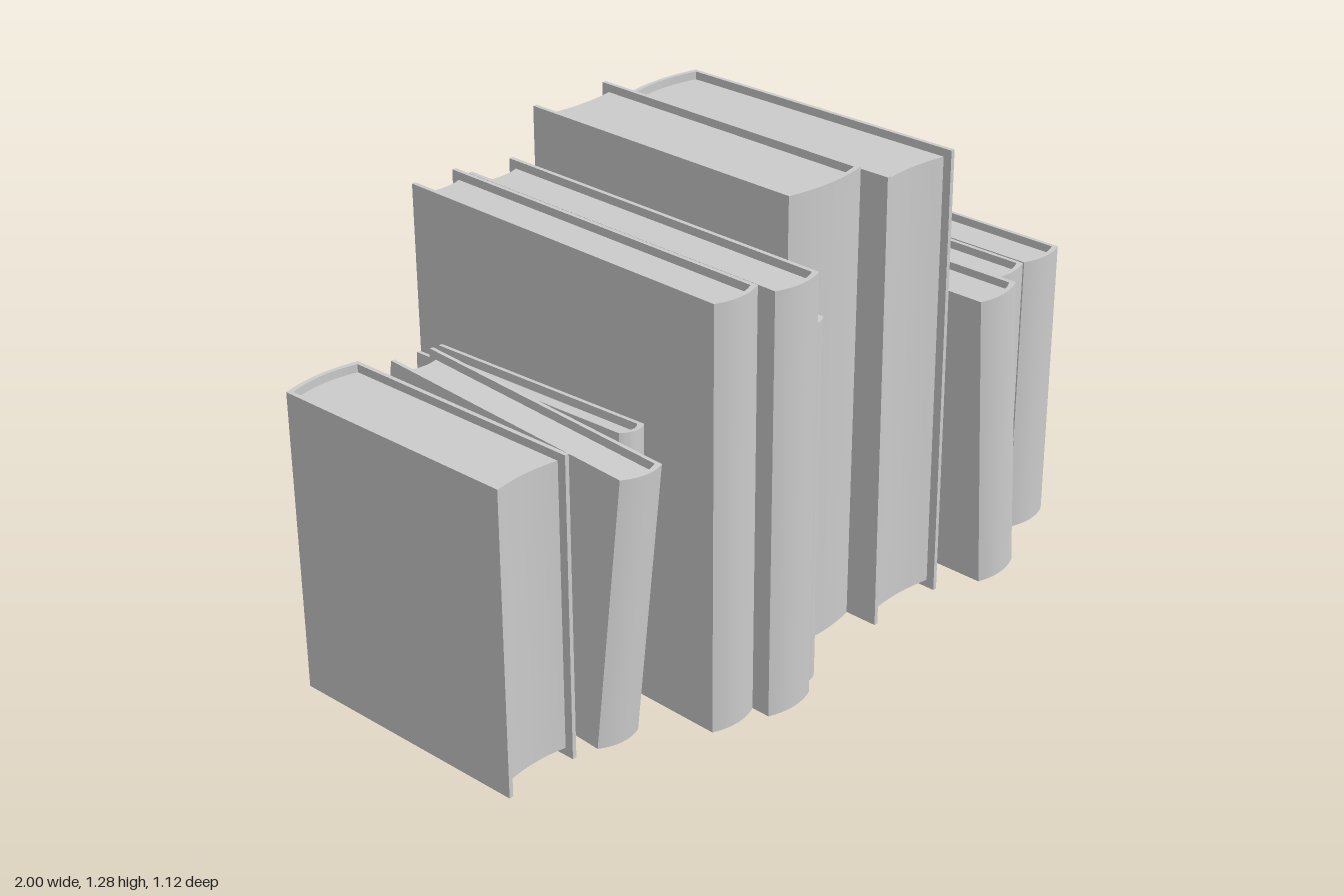
import * as THREE from 'three';
import { toCreasedNormals } from 'three/addons/utils/BufferGeometryUtils.js';

const BOARD = 0.012; // cover thickness
const BULGE = 0.016; // rounding of the spine

// Points across the width of a book, from -half to half, bowed towards the spine
function bow(half, z, bulge, steps = 12) {
  const points = [];
  for (let i = 0; i <= steps; i++) {
    const t = (i / steps) * 2 - 1;
    points.push(new THREE.Vector2(t * half, z - bulge * t * t));
  }
  return points;
}

// Extrudes an outline (x, z) upwards, centred on y = 0
function upright(outline, height) {
  const shape = new THREE.Shape(outline.map((p) => new THREE.Vector2(p.x, -p.y)));
  const geometry = new THREE.ExtrudeGeometry(shape, { depth: height, bevelEnabled: false });
  geometry.rotateX(-Math.PI / 2).translate(0, -height / 2, 0);
  return toCreasedNormals(geometry, 0.5);
}

// One hardback, spine towards +z
function makeBook(w, h, d) {
  const book = new THREE.Group();
  const half = w / 2;
  const material = new THREE.MeshStandardMaterial({ color: 0xcccccc });

  // Cover: two boards joined by a rounded spine
  const outer = bow(half, d / 2, BULGE);
  const inner = bow(half - BOARD, d / 2 - BOARD, BULGE).reverse();
  const coverOutline = [
    new THREE.Vector2(-half, -d / 2), ...outer, new THREE.Vector2(half, -d / 2),
    new THREE.Vector2(half - BOARD, -d / 2), ...inner, new THREE.Vector2(-half + BOARD, -d / 2),
  ];
  const cover = new THREE.Mesh(upright(coverOutline, h), material);
  cover.name = 'cover';

  // Pages: inset block, rounded at the spine and hollow at the fore edge
  const pagesOutline = [
    ...bow(half - BOARD, d / 2 - BOARD, BULGE),
    ...bow(half - BOARD, -d / 2 + 0.036, 0.012).reverse(),
  ];
  const pages = new THREE.Mesh(upright(pagesOutline, h - 0.044), material);
  pages.name = 'pages';

  book.add(cover, pages);
  return book;
}

export function createModel() {
  const row = new THREE.Group();
  row.name = 'bookRow';

  // size [w, h, d], centre [x, y, z], pitch, turn, lean
  const books = [
    { name: 'farRightBook', size: [0.226, 0.833, 0.735], at: [-0.873, 0.432, -0.042], turn: Math.PI + 0.036 },
    { name: 'leaningBookWide', size: [0.138, 0.725, 0.82], at: [-0.637, 0.435, 0.005], pitch: 0.04, lean: -0.082 },
    { name: 'leaningBookThin', size: [0.084, 0.735, 0.745], at: [-0.522, 0.417, -0.07], pitch: -0.045, lean: -0.075 },
    { name: 'tallBookRight', size: [0.146, 1.16, 1.06], at: [-0.367, 0.592, -0.03] },
    { name: 'tallBookMiddle', size: [0.152, 1.16, 1.065], at: [-0.217, 0.592, 0.02] },
    { name: 'thinBook', size: [0.076, 1.005, 1.06], at: [-0.1, 0.512, -0.03] },
    { name: 'tallestBook', size: [0.262, 1.27, 0.902], at: [0.078, 0.65, -0.074] },
    { name: 'reversedTallBook', size: [0.258, 1.265, 0.905], at: [0.345, 0.64, -0.006], turn: Math.PI, pitch: -0.009 },
    { name: 'tiltedBook', size: [0.145, 0.845, 0.74], at: [0.591, 0.463, 0.183], lean: 0.061, pitch: -0.007 },
    { name: 'shortBookInner', size: [0.153, 0.81, 0.74], at: [0.767, 0.433, 0.053], pitch: -0.006 },
    { name: 'shortBookOuter', size: [0.15, 0.81, 0.74], at: [0.924, 0.433, 0.053], pitch: -0.006 },
  ];

  for (const { name, size, at, pitch = 0, turn = 0, lean = 0 } of books) {
    const book = makeBook(...size);
    book.name = name;
    book.position.set(...at);
    book.rotation.set(pitch, turn, lean, 'XZY');
    row.add(book);
  }
  return row;
}
